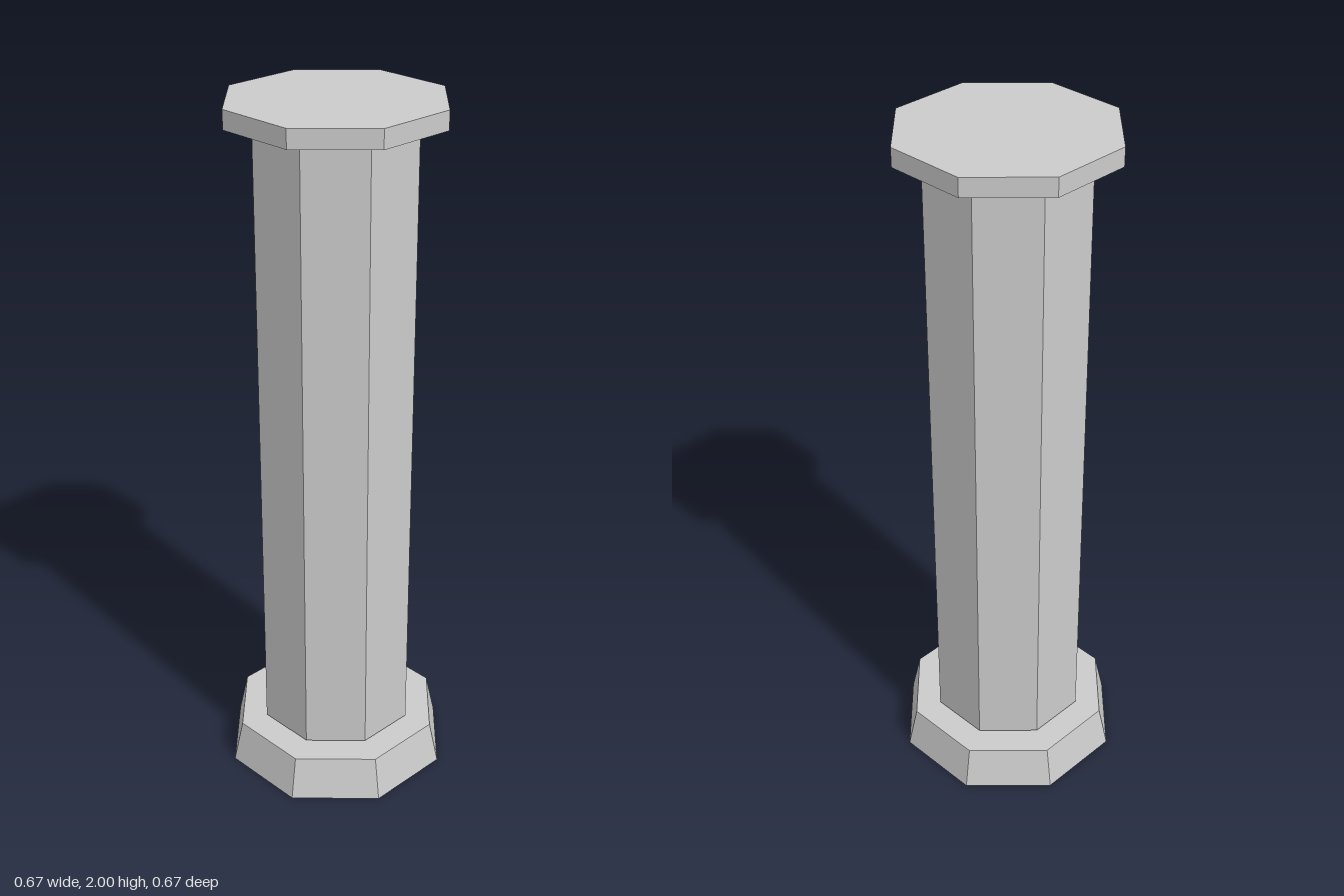
import * as THREE from 'three';

const SIDES = 8;

const material = new THREE.MeshStandardMaterial({
  color: 0xcccccc,
  flatShading: true,
  side: THREE.DoubleSide,
});

// Octagonal shell turned from a [radius, height] profile, listed bottom to top
function octagon(name, profile) {
  const points = profile.map(([r, y]) => new THREE.Vector2(r, y));
  const mesh = new THREE.Mesh(new THREE.LatheGeometry(points, SIDES), material);
  mesh.name = name;
  return mesh;
}

export function createModel() {
  const column = new THREE.Group();
  column.name = 'column';
  column.add(
    // Tapered foot, hollow underneath
    octagon('base', [[0.333, 0], [0.305, 0.125], [0, 0.125]]),
    // Straight open tube, just clear of the foot and reaching up inside the cap
    octagon('shaft', [[0.227, 0.136], [0.227, 1.99]]),
    // Thin lid, hollow underneath
    octagon('capital', [[0.302, 1.948], [0.302, 2], [0, 2]]),
  );
  return column;
}
